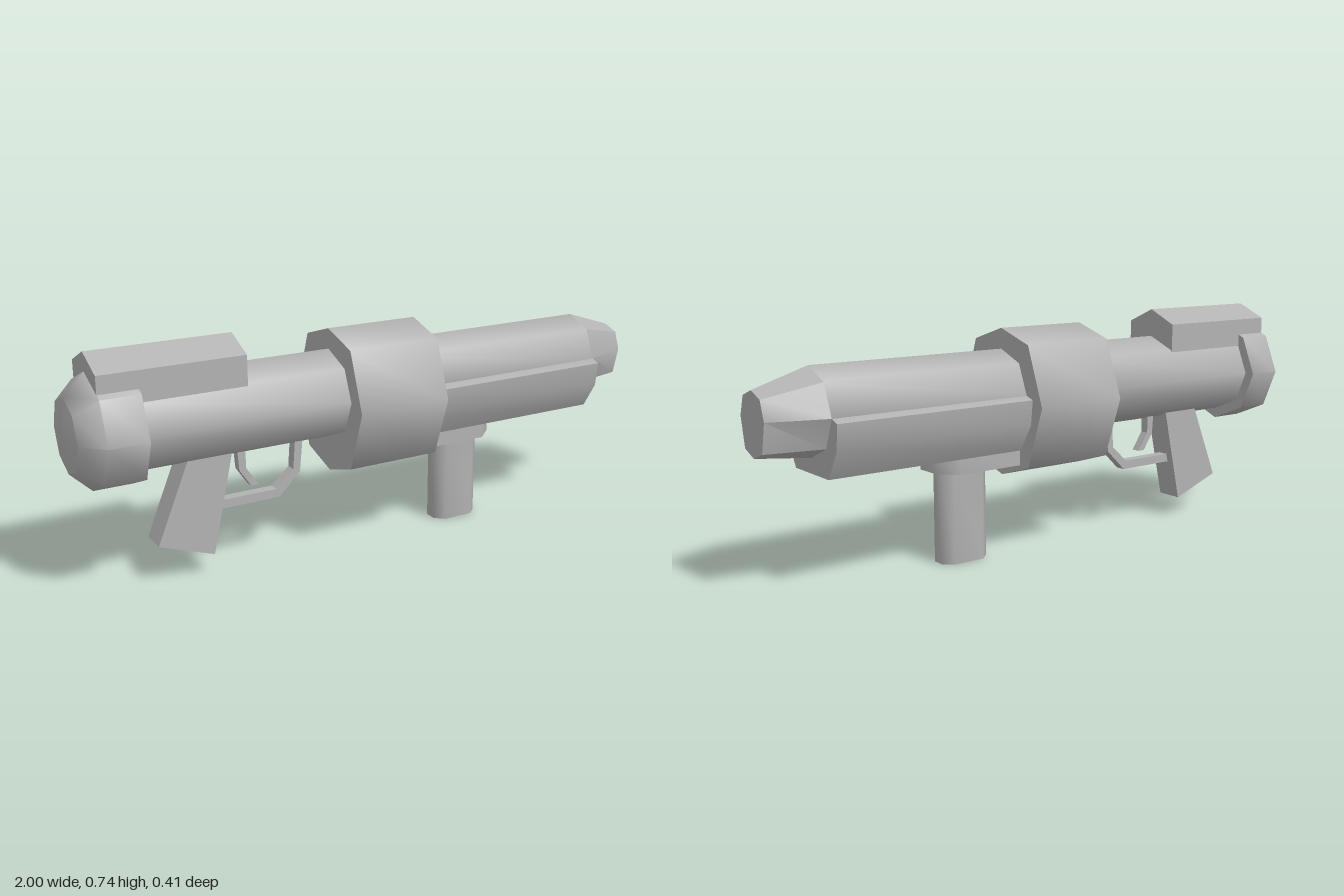
import * as THREE from 'three';
import { toCreasedNormals } from 'three/addons/utils/BufferGeometryUtils.js';

const rad = THREE.MathUtils.degToRad;

// Mirrors a half outline of [z, y] points, listed from top to bottom, into a full ring
function mirrored(half) {
  const other = half.filter(p => p[0] > 0).reverse().map(([z, y]) => [-z, y]);
  return [...half, ...other];
}

// Octagon with a corner at the top
function octagon(cy, r) {
  const ring = [];
  for (let i = 0; i < 8; i++) {
    const a = (i * Math.PI) / 4;
    ring.push([Math.sin(a) * r, cy + Math.cos(a) * r]);
  }
  return ring;
}

// Closed solid through cross-sections [x, ring] ordered by rising x
function loft(sections, crease) {
  const pos = [];
  const put = (s, i) => {
    const [x, ring] = s;
    const [z, y] = ring[i % ring.length];
    pos.push(x, y, z);
  };
  const n = sections[0][1].length;
  for (let k = 0; k < sections.length - 1; k++) {
    const a = sections[k], b = sections[k + 1];
    for (let i = 0; i < n; i++) {
      put(a, i); put(a, i + 1); put(b, i + 1);
      put(a, i); put(b, i + 1); put(b, i);
    }
  }
  const first = sections[0], last = sections[sections.length - 1];
  for (let i = 1; i < n - 1; i++) {
    put(last, 0); put(last, i); put(last, i + 1);
    put(first, 0); put(first, i + 1); put(first, i);
  }
  const g = new THREE.BufferGeometry();
  g.setAttribute('position', new THREE.Float32BufferAttribute(pos, 3));
  return toCreasedNormals(g, rad(crease));
}

function extrude(points, depth) {
  const shape = new THREE.Shape(points.map(([x, y]) => new THREE.Vector2(x, y)));
  return new THREE.ExtrudeGeometry(shape, { depth, bevelEnabled: false });
}

// Side outline in x and y, thickened evenly about z = 0
function sidePlate(points, width) {
  return extrude(points, width).translate(0, 0, -width / 2);
}

// Plan outline in x and z, extruded down from the given top
function column(points, top, height) {
  const g = extrude(points, height).rotateX(Math.PI / 2).translate(0, top, 0);
  return toCreasedNormals(g, rad(55));
}

export function createModel() {
  const group = new THREE.Group();
  const grey = new THREE.MeshStandardMaterial({ color: 0xb2b2b2 });
  grey.name = 'grey';
  const add = (name, geometry) => {
    const mesh = new THREE.Mesh(geometry, grey);
    mesh.name = name;
    group.add(mesh);
  };

  // Rear tube and domed end cap
  const cy = 0.505;
  const tube = octagon(cy, 0.143);
  add('rearTube', loft([[-0.85, tube], [-0.1, tube]], 50));
  add('endCap', loft([
    [-0.985, octagon(cy, 0.115)], [-0.92, octagon(cy, 0.178)], [-0.8, octagon(cy, 0.178)],
  ], 50));
  add('endCapFace', loft([[-1, octagon(cy, 0.05)], [-0.985, octagon(cy, 0.115)]], 40));

  // Large central collar
  const collar = mirrored([[0, 0.713], [0.138, 0.67], [0.207, 0.485], [0.138, 0.29], [0, 0.247]]);
  add('collar', loft([[-0.145, collar], [0.17, collar]], 55));

  // Front barrel with tapered muzzle
  const barrel = mirrored([[0, 0.648], [0.092, 0.611], [0.131, 0.515], [0.092, 0.425], [0, 0.386]]);
  const mouth = mirrored([[0, 0.594], [0.055, 0.574], [0.076, 0.515], [0.055, 0.425], [0, 0.405]]);
  add('frontBarrel', loft([[0.1, barrel], [0.83, barrel]], 50));
  add('muzzle', loft([[0.83, barrel], [1, mouth]], 35));

  // Lower fore-end wrapping the barrel
  const foreEnd = mirrored([[0.131, 0.515], [0.161, 0.505], [0.152, 0.425], [0.1, 0.34]]);
  add('foreEnd', loft([[0.1, foreEnd], [0.83, foreEnd]], 40));

  // Sight housing on top
  const sight = mirrored([[0, 0.74], [0.104, 0.694], [0.104, 0.6]]);
  add('sightHousing', loft([[-0.92, sight], [-0.47, sight]], 30));

  // Front handle and its mounting pad
  add('handlePad', column([
    [0.445, 0.045], [0.39, 0.095], [0.15, 0.095], [0.15, -0.095], [0.39, -0.095], [0.445, -0.045],
  ], 0.345, 0.053));
  add('frontHandle', column([
    [0.415, 0.02], [0.385, 0.048], [0.28, 0.048], [0.25, 0.02],
    [0.25, -0.02], [0.28, -0.048], [0.385, -0.048], [0.415, -0.02],
  ], 0.31, 0.31));

  // Rear grip, trigger and trigger guard
  add('rearGrip', sidePlate([[-0.75, 0.13], [-0.573, 0.066], [-0.495, 0.42], [-0.63, 0.42]], 0.09));
  add('triggerGuard', sidePlate([
    [-0.545, 0.197], [-0.335, 0.197], [-0.262, 0.268], [-0.25, 0.38],
    [-0.277, 0.38], [-0.285, 0.28], [-0.345, 0.225], [-0.545, 0.225],
  ], 0.035));
  add('trigger', sidePlate([
    [-0.475, 0.4], [-0.468, 0.308], [-0.43, 0.252], [-0.405, 0.252], [-0.445, 0.312], [-0.447, 0.4],
  ], 0.03));

  return group;
}
